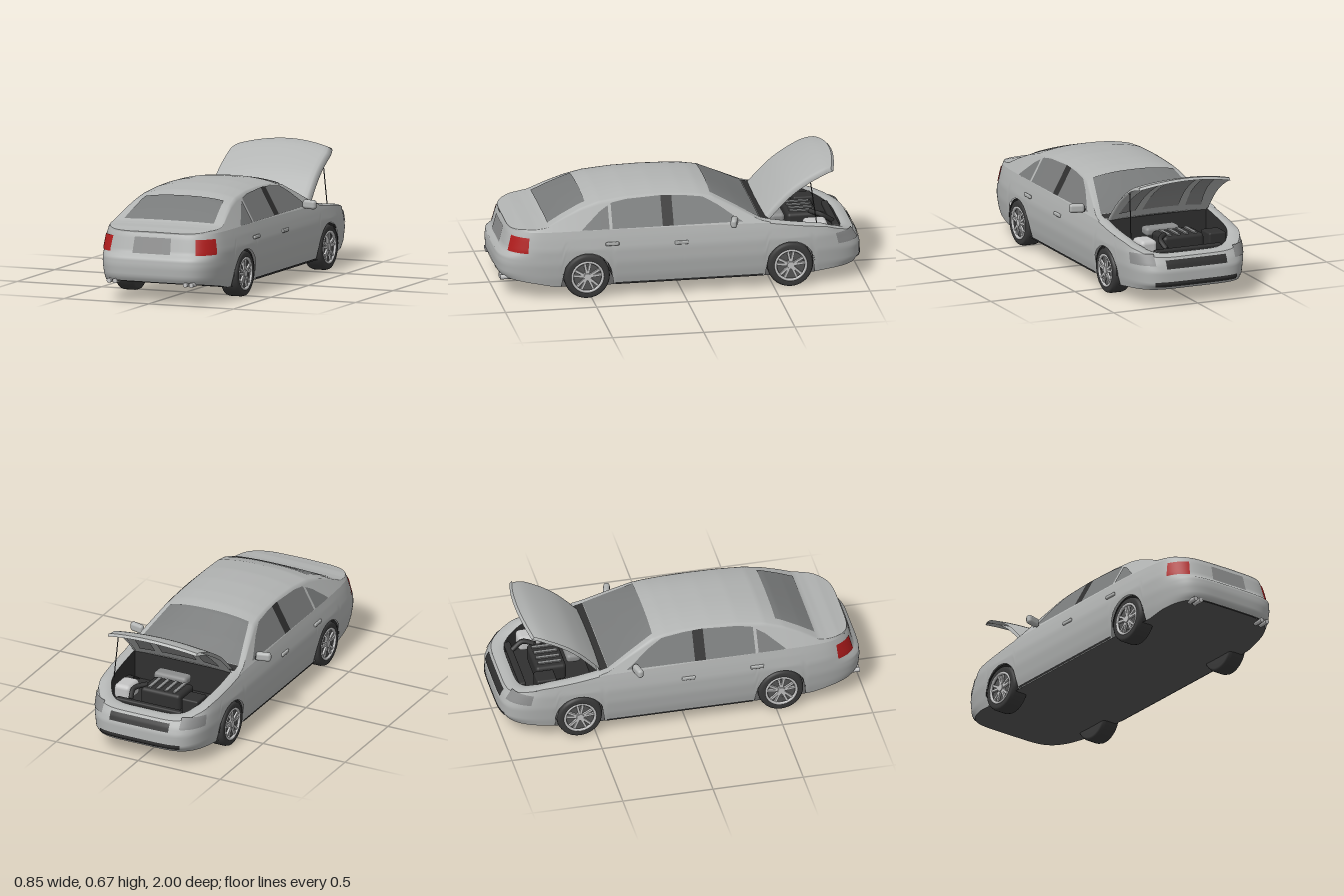
import * as THREE from 'three';
import { RoundedBoxGeometry } from 'three/addons/geometries/RoundedBoxGeometry.js';

const mat = (name, color) => new THREE.MeshStandardMaterial({ name, color, side: THREE.DoubleSide });
const M = {
  paint: mat('silver paint', 0xb2b4b3), glass: mat('tinted glass', 0x787a7a), tyre: mat('tyre rubber', 0x3a3a3a),
  under: mat('underbody grey', 0x575757), dark: mat('black trim', 0x303030), red: mat('tail light red', 0xb01c1c),
  rim: mat('alloy', 0xc4c4c4), grey: mat('mid grey', 0x8a8b8b),
};

// Piecewise-linear lookup in a list of [key, value]
function at(p, k) {
  if (k <= p[0][0]) return p[0][1];
  for (let i = 1; i < p.length; i++) {
    if (k <= p[i][0]) return THREE.MathUtils.mapLinear(k, p[i - 1][0], p[i][0], p[i - 1][1], p[i][1]);
  }
  return p[p.length - 1][1];
}
const lerp = THREE.MathUtils.lerp;

// Surface from fn(u, v) -> [x, y, z], u and v in 0..1
function grid(nu, nv, fn) {
  const pos = [], idx = [];
  for (let j = 0; j <= nv; j++) for (let i = 0; i <= nu; i++) pos.push(...fn(i / nu, j / nv));
  for (let j = 0; j < nv; j++) for (let i = 0; i < nu; i++) {
    const a = j * (nu + 1) + i, b = a + nu + 1;
    idx.push(a, a + 1, b, a + 1, b + 1, b);
  }
  const g = new THREE.BufferGeometry();
  g.setAttribute('position', new THREE.Float32BufferAttribute(pos, 3));
  g.setIndex(idx);
  g.computeVertexNormals();
  return g;
}

// Body rules: plan outline, width by height, end overhangs, shoulder, roof and sill lines along z
const WHEEL_Z = [0.525, -0.59], WHEEL_R = 0.125, N = 5.5;
const plan = z => Math.pow(Math.max(0, 1 - Math.pow(Math.abs(z), N)), 1 / N);
const WIDTH = [[0.06, 0.93], [0.12, 0.97], [0.2, 1], [0.28, 1], [0.34, 0.97], [0.385, 0.94]];
const REAR = [[0.1, -0.03], [0.14, -0.005], [0.2, 0], [0.245, -0.005], [0.265, -0.035], [0.36, -0.06], [0.39, -0.075]];
const NOSE = [[0.08, 0.03], [0.12, 0], [0.19, 0], [0.23, 0.015], [0.27, 0.04], [0.3, 0.06]];
const SHOULDER = [[-1, 0.262], [-0.93, 0.295], [-0.8, 0.325], [-0.6, 0.35], [-0.45, 0.372], [0, 0.38], [0.5, 0.385], [0.9, 0.38], [1, 0.375]];
const ROOF = [[-0.48, 0.375], [-0.43, 0.39], [-0.3, 0.47], [-0.17, 0.545], [-0.1, 0.562], [0, 0.572], [0.15, 0.576],
  [0.3, 0.57], [0.45, 0.55], [0.55, 0.516], [0.65, 0.465], [0.74, 0.412], [0.8, 0.402], [0.9, 0.397], [1, 0.383]];
const SILL = [[-1, 0.09], [-0.8, 0.08], [-0.7, 0.07], [0.7, 0.07], [0.8, 0.09], [1, 0.115]];
const halfWidth = (z, y) => 0.368 * plan(z) * at(WIDTH, y);
const endShift = (z, y) => at(z > 0 ? REAR : NOSE, y) * THREE.MathUtils.smoothstep(Math.abs(z), 0.75, 1);
function sillY(z) {
  let y = at(SILL, z);
  for (const c of WHEEL_Z) {
    const d = Math.abs(z - c);
    if (d < 0.135) y = Math.max(y, 0.125 + Math.sqrt(0.135 ** 2 - d * d));
  }
  return y;
}
// Point on the lower shell at plan angle a; height(z) gives y
function shell(a, height, out = 0) {
  const c = Math.cos(a), s = Math.sin(a);
  const r = Math.pow(Math.abs(c) ** N + Math.abs(s) ** N, -1 / N);
  const z = s * r, y = height(z);
  return [c * r * (0.368 * at(WIDTH, y) + out), y, z + endShift(z, y) + s * out];
}
const shellPatch = (a0, a1, y0, y1) => grid(20, 8, (u, v) => shell(lerp(a0, a1, u), () => lerp(y0, y1, v), 0.004));

// Cabin and boot: a leaning side, then a crowned top
const LEAN = 0.55, EDGE = 0.82;
function upperDims(z) {
  const y0 = at(SHOULDER, z), X = halfWidth(z, y0), h = at(ROOF, z) - y0;
  return { y0, X, h, xc: Math.max(0, X - LEAN * EDGE * h) };
}
function topY(x, z) {
  const { y0, h, xc } = upperDims(z);
  return y0 + h * (EDGE + (1 - EDGE) * (1 - Math.min(1, Math.abs(x) / (xc || 1)) ** 2.5));
}
function upper(u, v) {
  const z = v < 0.85 ? lerp(-0.48, 0.9, v / 0.85) : 0.9 + 0.1 * (1 - ((1 - v) / 0.15) ** 2);
  const { y0, X, h, xc } = upperDims(z), s = u * 2 - 1, m = Math.abs(s), sg = Math.sign(s);
  const dz = endShift(z, y0);
  if (m > 0.7) {
    const f = EDGE * (1 - m) / 0.3;
    return [sg * Math.max(0, X - LEAN * f * h), y0 + f * h, z + dz];
  }
  const x = sg * xc * m / 0.7;
  return [x, topY(x, z), z + dz];
}

// Raised bonnet: closed section swept along a curved path
const bonnetPath = new THREE.CatmullRomCurve3([[0.385, -0.46], [0.455, -0.52], [0.535, -0.6], [0.605, -0.7], [0.65, -0.79], [0.665, -0.86]]
  .map(([y, z]) => new THREE.Vector3(0, y, z)));
function bonnet(s, v, off) {
  const p = bonnetPath.getPoint(v * (1 - 0.1 * s * s));
  const w = at([[0, 0.3], [0.8, 0.292], [1, 0.27]], v);
  return [s * w, p.y - (0.01 + 0.02 * v) * s * s - 0.7 * off, p.z - 0.7 * off];
}

export function createModel() {
  const car = new THREE.Group();
  car.name = 'car';
  const add = (name, geo, material, x = 0, y = 0, z = 0, parent = car) => {
    const m = new THREE.Mesh(geo, material);
    m.name = name;
    m.position.set(x, y, z);
    parent.add(m);
    return m;
  };
  const box = (w, h, d, r) => r ? new RoundedBoxGeometry(w, h, d, 3, r) : new THREE.BoxGeometry(w, h, d);

  // Painted shell and floor
  add('lowerBody', grid(400, 18, (u, v) => shell(u * Math.PI * 2, z => lerp(sillY(z), at(SHOULDER, z), v))), M.paint);
  add('cabinAndBoot', grid(60, 110, upper), M.paint);
  add('floor', grid(8, 80, (u, v) => {
    const z = Math.sin((v - 0.5) * Math.PI), y = at(SILL, z);
    return [(u * 2 - 1) * halfWidth(z, y), y, z + endShift(z, y)];
  }), M.under);

  // Windscreen and rear window
  const topGlass = (name, z0, w0, z1, w1, m = M.glass) => add(name, grid(24, 24, (u, v) => {
    const z = lerp(z0, z1, v), x = (u * 2 - 1) * lerp(w0, w1, v);
    return [x, topY(x, z) + 0.004, z];
  }), m);
  topGlass('windscreen', -0.425, 0.31, -0.165, 0.238);
  topGlass('rearWindow', 0.52, 0.23, 0.73, 0.265);
  topGlass('wiperCowl', -0.475, 0.31, -0.427, 0.31, M.dark);

  // Side windows and centre pillar
  const GLASS_TOP = [[-0.33, 0.387], [-0.3, 0.405], [-0.2, 0.475], [-0.12, 0.518], [0, 0.532], [0.1, 0.537], [0.3, 0.528], [0.38, 0.515], [0.45, 0.475], [0.55, 0.392]];
  const sideGlass = (name, side, z0, z1, m) => add(name, grid(20, 6, (u, v) => {
    const z = lerp(z0, z1, u), y = lerp(0.387, at(GLASS_TOP, z), v), d = upperDims(z);
    return [side * (d.X - LEAN * (y - d.y0) + 0.004), y, z];
  }), m);

  // Engine bay surround, walls and contents
  const rim = (u, k, lift, y) => {
    const p = shell(lerp(-0.43, -Math.PI + 0.43, u), z => at(SHOULDER, z));
    return [p[0] * lerp(1, 0.84, k), y ?? p[1] + lift, -0.46 + (p[2] + 0.46) * lerp(1, 0.87, k)];
  };
  add('wingTops', grid(90, 4, (u, v) => rim(u, v, 0.012 * Math.sin(v * 2.4))), M.paint);
  add('bayWalls', grid(90, 1, (u, v) => rim(u, 1, 0.008, v ? 0.2 : undefined)), M.dark);
  add('bayFloor', box(0.56, 0.02, 0.42), M.dark, 0, 0.2, -0.67);
  add('firewall', box(0.62, 0.17, 0.01), M.dark, 0, 0.285, -0.47);
  add('engineCover', box(0.24, 0.1, 0.17, 0.02), M.dark, -0.02, 0.275, -0.7);
  for (let i = 0; i < 4; i++) add('coverRib', box(0.02, 0.01, 0.13), M.grey, -0.095 + i * 0.05, 0.327, -0.7);
  add('intake', box(0.2, 0.05, 0.08, 0.02), M.grey, 0.02, 0.31, -0.56);
  add('coolantTank', box(0.1, 0.09, 0.13, 0.025), M.rim, 0.2, 0.28, -0.75);
  add('battery', box(0.1, 0.09, 0.11, 0.01), M.dark, -0.21, 0.28, -0.75);
  add('radiatorTop', box(0.4, 0.03, 0.035, 0.01), M.dark, 0, 0.27, -0.87);
  const hose = new THREE.CatmullRomCurve3([[0.12, 0.28, -0.86], [0.13, 0.32, -0.8], [0.08, 0.33, -0.74]].map(p => new THREE.Vector3(...p)));
  add('radiatorHose', new THREE.TubeGeometry(hose, 16, 0.014, 8), M.dark);

  // Bonnet with recessed underside panels and a prop rod
  const T = 0.018, loop = u => u < 0.5 ? [u * 4 - 1, 0] : [3 - u * 4, T];
  add('bonnet', grid(48, 24, (u, v) => bonnet(loop(u)[0], v, loop(u)[1])), M.paint);
  for (const v of [0, 1]) add('bonnetEdge', grid(24, 1, (u, w) => bonnet(u * 2 - 1, v, w * T)), M.paint);
  for (const [s0, s1, v0, v1] of [[-0.82, -0.5, 0.15, 0.85], [-0.36, 0.36, 0.15, 0.8], [0.5, 0.82, 0.15, 0.85]]) {
    add('bonnetLiner', grid(10, 14, (u, v) => bonnet(lerp(s0, s1, u) * (1 - 0.2 * v), lerp(v0, v1, v), T + 0.004)), M.grey);
  }
  const rod = new THREE.LineCurve3(new THREE.Vector3(0.28, 0.33, -0.745), new THREE.Vector3(0.27, 0.585, -0.71));
  add('propRod', new THREE.TubeGeometry(rod, 1, 0.003, 6), M.dark);

  // Front and rear details on the shell
  const H = Math.PI / 2;
  add('plateRecess', shellPatch(H - 0.29, H + 0.29, 0.268, 0.355), M.grey);
  add('grille', shellPatch(-H - 0.45, -H + 0.45, 0.205, 0.25), M.dark);
  add('lowerIntake', shellPatch(-H - 0.6, -H + 0.6, 0.105, 0.135), M.dark);
  add('bumperShadowLine', shellPatch(H - 0.6, H + 0.6, 0.113, 0.119), M.dark);

  // Wheel shapes, axle along x, outer face at +x
  const tyreGeo = new THREE.LatheGeometry([[0.088, 0.05], [0.11, 0.052], [0.12, 0.046], [WHEEL_R, 0.03], [WHEEL_R, -0.03],
    [0.12, -0.046], [0.11, -0.052], [0.05, -0.05], [0, -0.05]].map(p => new THREE.Vector2(...p)), 40).rotateZ(-H);
  const discGeo = new THREE.CylinderGeometry(0.09, 0.09, 0.01, 32).rotateZ(H);
  const ringGeo = new THREE.TorusGeometry(0.084, 0.008, 8, 40).rotateY(H);
  const hubGeo = new THREE.CylinderGeometry(0.02, 0.024, 0.02, 20).rotateZ(-H);
  const spokeGeo = new THREE.BoxGeometry(0.012, 0.07, 0.013).translate(0, 0.05, 0);
  const linerGeo = new THREE.CylinderGeometry(0.135, 0.135, 0.1, 32, 1, true, -H, Math.PI).rotateZ(H);

  for (const side of [1, -1]) {
    sideGlass('frontSideWindow', side, -0.33, 0.05, M.glass);
    sideGlass('centrePillar', side, 0.05, 0.11, M.dark);
    sideGlass('rearSideWindow', side, 0.11, 0.385, M.glass);
    sideGlass('quarterWindow', side, 0.402, 0.55, M.glass);

    const mirrorAngle = a => side > 0 ? a : Math.PI - a;
    add('tailLight', shellPatch(mirrorAngle(0.76), mirrorAngle(0.965), 0.268, 0.352), M.red);
    add('headLight', shellPatch(mirrorAngle(-0.76), mirrorAngle(-1.0), 0.225, 0.285), M.grey);
    add('sillStrip', grid(30, 1, (u, v) => {
      const z = lerp(-0.44, 0.37, u), y = 0.071 + v * 0.012;
      return [side * (halfWidth(z, y) + 0.004), y, z];
    }), M.dark);

    for (const [z, y] of [[0.39, 0.31], [0.01, 0.295]]) add('doorHandle', box(0.014, 0.02, 0.075, 0.006), M.paint, side * 0.368, y, z);
    const mirror = add('doorMirror', box(0.085, 0.05, 0.035, 0.016), M.paint, side * 0.385, 0.4, -0.275);
    mirror.rotation.y = -side * 0.25;
    add('mirrorArm', box(0.05, 0.016, 0.022, 0.006), M.dark, side * 0.338, 0.388, -0.285);
    for (const x of [0.208, 0.243]) add('exhaustTip', new THREE.CylinderGeometry(0.013, 0.013, 0.06, 16).rotateX(H), M.rim, side * x, 0.112, 0.955);

    for (const z of WHEEL_Z) {
      const wheel = new THREE.Group();
      wheel.name = 'wheel';
      wheel.position.set(side * 0.312, WHEEL_R, z);
      if (side < 0) wheel.rotation.y = Math.PI;
      car.add(wheel);
      add('tyre', tyreGeo, M.tyre, 0, 0, 0, wheel);
      add('brakeDisc', discGeo, M.under, 0.025, 0, 0, wheel);
      add('rimRing', ringGeo, M.rim, 0.046, 0, 0, wheel);
      add('hub', hubGeo, M.rim, 0.042, 0, 0, wheel);
      for (let i = 0; i < 10; i++) {
        const a = Math.floor(i / 2) * Math.PI * 0.4 + (i % 2 ? 0.2 : -0.2);
        add('spoke', spokeGeo, M.rim, 0.042, 0, 0, wheel).rotation.x = a;
      }
      const liner = add('archLiner', grid(24, 1, (u, v) => [v * 0.1, 0.134 * Math.sin(u * Math.PI), 0.134 * Math.cos(u * Math.PI)]), M.dark, side * 0.305, 0.125, z);
      liner.position.x = side > 0 ? 0.255 : -0.355;
    }
  }
  return car;
}
